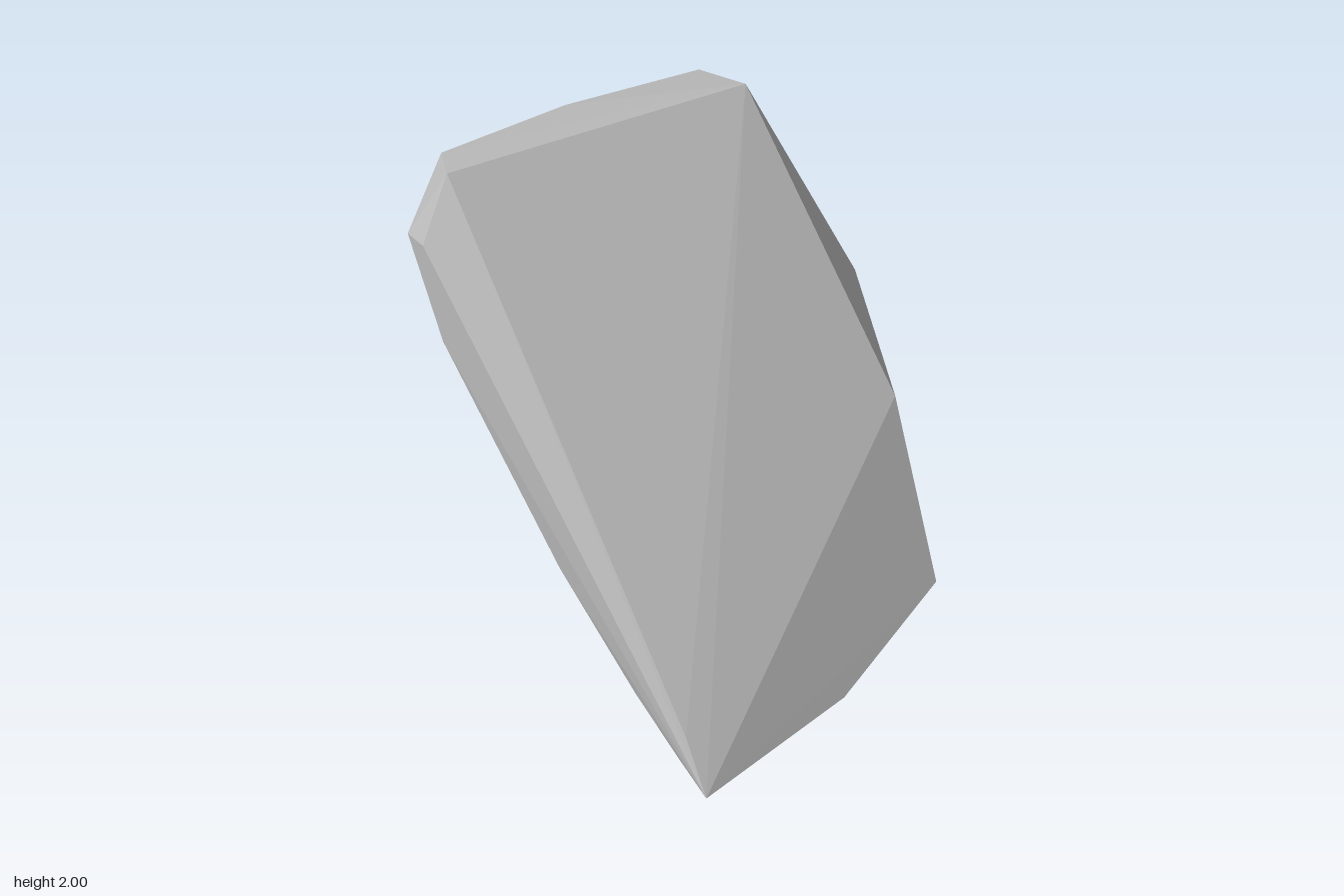
import * as THREE from 'three';
import { ConvexGeometry } from 'three/addons/geometries/ConvexGeometry.js';

const V = (p) => new THREE.Vector3(...p);

export function createModel() {
  const group = new THREE.Group();
  group.name = 'stoneShard';
  const stone = new THREE.MeshStandardMaterial({ color: 0xb8b8b8, flatShading: true });
  stone.name = 'grey stone';

  // Broad flat top slab and its chipped upper edge
  const slab = [
    [-0.31, 2.0, -0.47], [-0.7, 1.9, 0.63], [-0.87, 1.87, 0.53], [-0.8, 1.89, 0],
    [-0.63, 1.91, -0.53], [0.48, 0.95, -0.52], [0.81, 0.24, -0.46], [0.865, 0.04, 0.11],
  ];
  // Nearly flat front rim, from the top corner down the curved belly to the foot
  const frontRim = [
    [-0.78, 1.67, 0.77], [-0.61, 1.28, 0.78], [-0.48, 1.1, 0.77], [0.01, 0.56, 0.78],
    [0.42, 0.21, 0.78], [0.67, 0.06, 0.79], [0.84, 0, 0.81],
    [-0.69, 1.66, 0.77], [0.7, 0.19, 0.78],
  ];
  // Pointed back edge and bulging underside
  const backAndBelly = [
    [-0.02, 1.15, -0.81], [0.04, 1.06, -0.8], [0.25, 0.36, 0.26], [-0.38, 1.1, 0.06],
  ];

  const shard = new THREE.Mesh(
    new ConvexGeometry([...slab, ...frontRim, ...backAndBelly].map(V)), stone);
  shard.name = 'shard';
  group.add(shard);
  return group;
}
